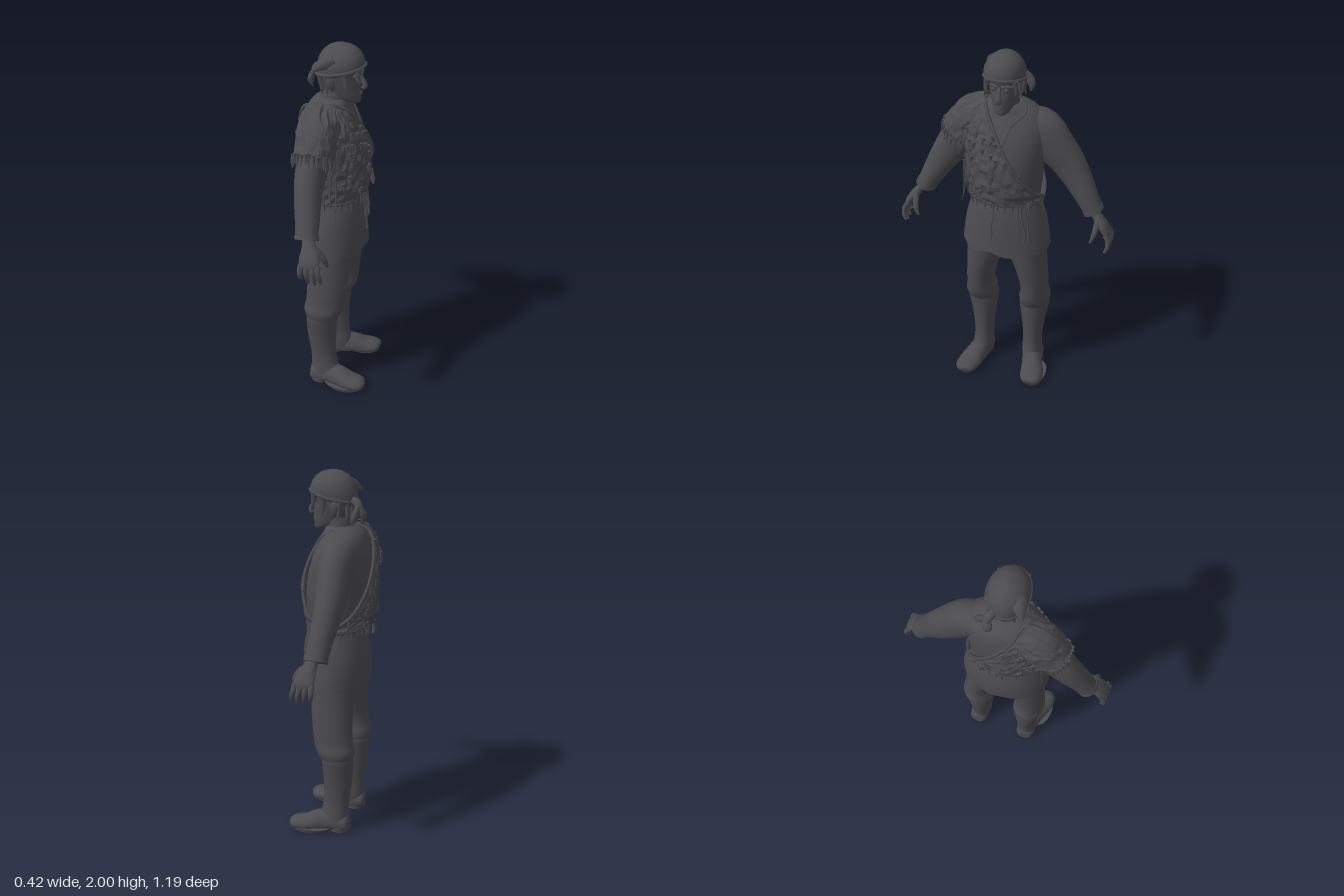
import * as THREE from 'three';

const cloth = new THREE.MeshStandardMaterial({ color: 0x4c4c50, side: THREE.DoubleSide });
cloth.name = 'charcoal grey';
const V = (x, y, z) => new THREE.Vector3(x, y, z);
let seed = 7;
const rnd = () => (seed = (seed * 16807) % 2147483647) / 2147483647;

// Smoothly interpolate a table of numbers at t in 0..rows-1
function sample(rows, t) {
  const i = Math.min(Math.floor(t), rows.length - 2), f = t - i;
  const at = k => rows[Math.max(0, Math.min(rows.length - 1, k))];
  return rows[i].map((b, c) => {
    const a = at(i - 1)[c], d = at(i + 1)[c], e = at(i + 2)[c];
    const m0 = (d - a) / 2, m1 = (e - b) / 2, f2 = f * f, f3 = f2 * f;
    return (2 * f3 - 3 * f2 + 1) * b + (f3 - 2 * f2 + f) * m0 + (3 * f2 - 2 * f3) * d + (f3 - f2) * m1;
  });
}
const refine = (rows, k) => Array.from({ length: (rows.length - 1) * k + 1 }, (_, i) => sample(rows, i / k));

// Skin a list of point rings; closed rings also get end caps
function skin(rings, closed = true, flat = false) {
  const pos = [], idx = [], n = rings[0].length, m = closed ? n : n - 1;
  rings.forEach(r => r.forEach(p => pos.push(p.x, p.y, p.z)));
  for (let i = 0; i < rings.length - 1; i++) for (let j = 0; j < m; j++) {
    const a = i * n + j, b = i * n + (j + 1) % n;
    idx.push(a, b, a + n, b, b + n, a + n);
  }
  if (closed) [0, rings.length - 1].forEach((r, e) => {
    const c = pos.length / 3, mid = V(0, 0, 0);
    rings[r].forEach(p => mid.addScaledVector(p, 1 / n));
    rings[r].forEach(p => pos.push(p.x, p.y, p.z));
    pos.push(mid.x, mid.y, mid.z);
    for (let j = 0; j < n; j++) {
      const a = c + j, b = c + (j + 1) % n;
      e ? idx.push(a, b, c + n) : idx.push(b, a, c + n);
    }
  });
  // Make the faces point outward
  let vol = 0;
  const P = i => V(pos[3 * i], pos[3 * i + 1], pos[3 * i + 2]);
  for (let i = 0; i < idx.length; i += 3) vol += P(idx[i]).dot(P(idx[i + 1]).cross(P(idx[i + 2])));
  if (vol < 0) idx.reverse();
  let g = new THREE.BufferGeometry();
  g.setAttribute('position', new THREE.Float32BufferAttribute(pos, 3));
  g.setIndex(idx);
  if (flat) g = g.toNonIndexed();
  g.computeVertexNormals();
  return g;
}

// Horizontal rings from rows [y, x0, x1, z0, z1]
function stack(rows, s = 1, k = 3, seg = 24, lift = () => 0) {
  return skin(refine(rows, k).map(([y, x0, x1, z0, z1]) => Array.from({ length: seg }, (_, j) => {
    const a = j / seg * Math.PI * 2;
    const x = (x0 + x1) / 2 + (x1 - x0) / 2 * Math.cos(a);
    return V(x, y + lift(x, y, a), s * ((z0 + z1) / 2 + (z1 - z0) / 2 * Math.sin(a)));
  })));
}

// Rings across a path, rows [x, y, z, width, depth]
function limbRings(rows, s, k, seg, ref = V(1, 0, 0), floor = -1, a0 = 0, a1 = Math.PI * 2) {
  const r = refine(rows, k), open = a1 - a0 < 6;
  return r.map(([x, y, z, w, d], i) => {
    const p = r[Math.max(0, i - 1)], q = r[Math.min(r.length - 1, i + 1)];
    const t = V(q[0] - p[0], q[1] - p[1], q[2] - p[2]).normalize();
    const u = ref.clone().addScaledVector(t, -ref.dot(t)).normalize(), v = t.clone().cross(u);
    return Array.from({ length: seg }, (_, j) => {
      const a = a0 + (a1 - a0) * j / (open ? seg - 1 : seg);
      const c = V(x, y, z).addScaledVector(u, w * Math.cos(a)).addScaledVector(v, d * Math.sin(a));
      return V(c.x, Math.max(floor, c.y), s * c.z);
    });
  });
}
const limb = (rows, s = 1, k = 3, seg = 14, ref, floor) => skin(limbRings(rows, s, k, seg, ref, floor));

// Tunic body: rows [y, back x, front x, half width]
const BODY = [[.85, -.19, .16, .245], [.93, -.192, .155, .237], [1.02, -.185, .148, .222], [1.1, -.168, .138, .2],
  [1.15, -.155, .128, .185], [1.19, -.165, .138, .187], [1.26, -.185, .152, .195], [1.4, -.193, .15, .205],
  [1.52, -.19, .122, .217], [1.6, -.18, .09, .21], [1.66, -.16, .062, .17], [1.695, -.13, .052, .115], [1.71, -.1, .045, .08]];
function bodyPoint(y, a, off = 0) {
  let i = 0;
  while (i < BODY.length - 2 && BODY[i + 1][0] < y) i++;
  const [, b, f, w] = sample(BODY, i + (y - BODY[i][0]) / (BODY[i + 1][0] - BODY[i][0]));
  return V((b + f) / 2 + ((f - b) / 2 + off) * Math.cos(a), y, (w + off) * Math.sin(a));
}
// Angle at which the pelt's diagonal edge crosses height y
function edgeAngle(y) {
  const z = .09 - (1.7 - y) * .54, w = Math.abs(bodyPoint(y, Math.PI / 2).z);
  return Math.asin(Math.max(-1, Math.min(1, z / w)));
}

export function createModel() {
  const root = new THREE.Group();
  const add = (name, g) => {
    const m = new THREE.Mesh(g, cloth);
    m.name = name;
    root.add(m);
    return m;
  };
  const cord = (name, pts, r = .006, closed = false) =>
    add(name, new THREE.TubeGeometry(new THREE.CatmullRomCurve3(pts, closed), pts.length * 4, r, 5, closed));
  // Tapered, slightly ragged tuft hanging from p
  const tuft = (name, p, len, r = .01, dx = 0, dz = 0) => add(name, limb([[p.x, p.y + .01, p.z, r, r],
    [p.x + dx * .3 + (rnd() - .5) * .012, p.y - len * .5, p.z + dz * .3 + (rnd() - .5) * .012, r * .8, r * .6],
    [p.x + dx, p.y - len, p.z + dz, .002, .002]], 1, 1, 5));

  // Tunic with rippled hem
  add('tunic', stack(BODY.map(([y, b, f, w]) => [y, b, f, -w, w]), 1, 3, 40,
    (x, y, a) => y < .93 ? .012 * Math.sin(a * 7) * (.93 - y) / .08 : 0));
  const waist = off => Array.from({ length: 20 }, (_, i) => bodyPoint(1.165, i / 20 * Math.PI * 2, off));
  cord('belt', waist(.01), .011, true);

  for (const s of [1, -1]) {
    // Legs and boots
    add('trouserLeg', stack([[.92, -.14, .11, .005, .22], [.8, -.14, .1, .012, .225], [.7, -.14, .092, .048, .229],
      [.6, -.14, .08, .075, .234], [.53, -.147, .072, .08, .236], [.48, -.157, .06, .068, .245], [.44, -.145, .04, .07, .237]], s));
    add('bootShaft', stack([[.45, -.143, .032, .068, .236], [.42, -.146, .03, .066, .236], [.3, -.14, .022, .082, .213],
      [.18, -.122, .022, .092, .2], [.1, -.118, .036, .09, .205], [.04, -.12, .05, .095, .21]], s));
    add('bootFoot', limb([[-.126, .04, .15, .025, .035], [-.108, .04, .15, .05, .055], [-.02, .045, .155, .058, .07],
      [.05, .042, .172, .06, .066], [.11, .034, .187, .066, .047], [.165, .032, .197, .06, .04], [.192, .03, .2, .042, .028],
      [.2, .028, .2, .018, .012]], s, 3, 18, V(0, 0, 1), .012));
    add('bootHeel', stack([[0, -.122, -.015, .1, .205], [.03, -.122, -.01, .098, .207]], s, 1, 16));
    add('bootSole', stack([[.002, -.01, .19, .135, .258], [.02, -.03, .197, .132, .262]], s, 1, 18));

    // Sleeve and cuff
    add('sleeve', limb([[-.06, 1.6, .1, .085, .07], [-.062, 1.56, .175, .092, .11], [-.065, 1.45, .257, .086, .107],
      [-.07, 1.37, .318, .078, .096], [-.064, 1.28, .377, .07, .08], [-.052, 1.19, .43, .064, .064], [-.045, 1.11, .474, .06, .054]], s, 3, 20));
    add('cuff', limb([[-.045, 1.125, .467, .064, .058], [-.044, 1.105, .477, .064, .058]], s, 1, 20));

    // Hand
    add('palm', limb([[-.035, 1.14, .465, .035, .028], [-.025, 1.09, .5, .036, .025], [-.012, 1.05, .535, .052, .024],
      [-.008, 1.01, .562, .054, .02], [-.006, .99, .568, .045, .014]], s));
    [[-.052, .925], [-.02, .907], [.012, .9], [.041, .915]].forEach(([x, y]) => add('finger', limb([[x, 1.01, .562, .013, .013],
      [x, .98, .577, .015, .014], [x * 1.1 + .006, .945, .578, .013, .012], [x * 1.1 + .012, y, .564, .008, .008]], s, 2, 8)));
    add('thumb', limb([[.01, 1.08, .51, .018, .016], [.042, 1.04, .508, .018, .016], [.062, 1.005, .5, .014, .013],
      [.068, .97, .486, .007, .007]], s, 2, 8));

    // Face details in pairs
    add('ear', limb([[-.015, 1.765, s * .078, .008, .008], [-.02, 1.795, s * .088, .02, .012], [-.022, 1.83, s * .092, .022, .012],
      [-.022, 1.85, s * .086, .012, .008]], 1, 2, 10));
    const eye = add('eye', new THREE.SphereGeometry(.012, 12, 8));
    eye.position.set(.106, 1.83, s * .034);
    add('brow', limb([[.118, 1.848, s * .012, .01, .008], [.113, 1.854, s * .036, .01, .007], [.092, 1.845, s * .062, .008, .005]], 1, 2, 8, V(1, 0, 0)));
  }

  // Neck, head and face
  add('neck', stack([[1.64, -.11, .055, -.085, .085], [1.69, -.09, .05, -.07, .07], [1.76, -.075, .045, -.062, .062]]));
  add('head', stack([[1.683, .055, .1, -.022, .022], [1.692, .015, .116, -.038, .038], [1.72, -.045, .118, -.055, .055],
    [1.755, -.08, .118, -.066, .066], [1.79, -.097, .117, -.076, .076], [1.83, -.106, .112, -.083, .083],
    [1.88, -.108, .12, -.088, .088], [1.94, -.09, .105, -.08, .08], [1.975, -.05, .07, -.05, .05]], 1, 3, 28));
  add('nose', limb([[.112, 1.845, 0, .008, .009], [.126, 1.81, 0, .012, .011], [.138, 1.779, 0, .015, .018],
    [.126, 1.765, 0, .012, .016]], 1, 3, 10));
  [1.742, 1.731].forEach(y => add('lip', limb([[.1, y, -.028, .004, .003], [.118, y + .002, 0, .007, .006], [.1, y, .028, .004, .003]], 1, 3, 8)));

  // Headscarf, its loose corner and knot
  const tilt = (x, y) => .26 * x * Math.max(0, 2 - y) / .15;
  add('headscarf', stack([[1.845, -.112, .13, -.094, .098], [1.855, -.12, .138, -.102, .108], [1.9, -.117, .132, -.104, .11],
    [1.95, -.095, .112, -.086, .09], [1.985, -.053, .074, -.05, .052], [2, -.005, .025, -.01, .01]], 1, 3, 28, tilt));
  cord('scarfBand', Array.from({ length: 16 }, (_, i) => {
    const a = i / 16 * Math.PI * 2, x = .01 + .129 * Math.cos(a);
    return V(x, 1.862 + .22 * x, .003 + .105 * Math.sin(a));
  }), .009, true);
  add('scarfCorner', limb([[-.02, 1.93, .06, .035, .05], [-.07, 1.905, .09, .03, .035], [-.115, 1.875, .117, .004, .005]], 1, 3, 8, V(0, 1, 0)));
  add('scarfKnot', limb([[-.1, 1.85, -.03, .02, .022], [-.13, 1.84, -.045, .024, .026], [-.148, 1.815, -.055, .018, .02]], 1, 2, 10));
  [[-.165, -.04], [-.13, -.1]].forEach(([x, z]) => add('scarfTail', limb([[-.14, 1.83, -.05, .012, .012],
    [(x - .145) / 2, 1.8, (z - .055) / 2, .016, .028], [x, 1.765, z, .018, .022], [x + .012, 1.728, z, .003, .004]], 1, 2, 8)));
  // Hair locks below the scarf
  [[.115, .06, .05], [.095, -.075, .05], [.05, .087, .07], [.04, -.087, .07], [-.05, .085, .075], [-.05, -.085, .075],
    [-.085, .06, .085], [-.085, -.06, .085], [-.1, .02, .09], [-.1, -.02, .09]].forEach(([x, z, l]) =>
    tuft('hairLock', V(x, 1.855 + x * .2, z), l + .02, .018, .012, z * .12));

  // Neck opening edge
  cord('neckline', [[1.7, 1.35], [1.675, .85], [1.62, .28], [1.56, .14], [1.49, .02], [1.56, -.14], [1.62, -.28], [1.675, -.85], [1.7, -1.35]]
    .map(([y, a]) => bodyPoint(y, a, .002)), .006);

  // Pelt wrapped over one shoulder, rough surfaced
  const rough = () => .01 + .014 * rnd();
  const heights = Array.from({ length: 19 }, (_, i) => 1.17 + i * .0295);
  add('pelt', skin(heights.map(y => {
    const a = edgeAngle(y);
    return Array.from({ length: 37 }, (_, j) => bodyPoint(y, a + (Math.PI - 2 * a) * j / 36, rough()));
  }), false, true));
  for (const back of [false, true]) {
    cord('peltEdge', heights.map(y => bodyPoint(y, back ? Math.PI - edgeAngle(y) : edgeAngle(y), .02)), .01);
  }
  const drape = limbRings([[-.06, 1.64, .08, .1, .09], [-.062, 1.575, .17, .112, .128], [-.064, 1.51, .225, .107, .126],
    [-.065, 1.455, .265, .1, .121]], 1, 3, 22, V(1, 0, 0), -1, -.35, Math.PI + .35);
  const upper = drape[9].reduce((t, p) => t + p.y, 0) / 22 > 1.455;
  const shoulder = upper ? drape : limbRings([[-.06, 1.64, .08, .1, .09], [-.062, 1.575, .17, .112, .128],
    [-.064, 1.51, .225, .107, .126], [-.065, 1.455, .265, .1, .121]], 1, 3, 22, V(1, 0, 0), -1, Math.PI - .35, Math.PI * 2 + .35);
  shoulder.forEach(r => r.forEach(p => p.add(V((rnd() - .5) * .012, (rnd() - .5) * .012, (rnd() - .5) * .012))));
  add('peltShoulder', skin(shoulder, false, true));
  shoulder[9].forEach((p, i) => tuft('shoulderFringe', p, .035 + rnd() * .04, .009, 0, .012));

  // Raised scales of hide
  for (let i = 0; i < 70; i++) {
    const y = 1.2 + rnd() * .42, a = edgeAngle(y), b = a + (Math.PI - 2 * a) * rnd();
    tuft('hideScale', bodyPoint(y, b, .016), .035, .014, .008 * Math.cos(b), .008 * Math.sin(b));
  }
  // Waist fringe and hanging cords
  for (let i = 0; i < 34; i++) tuft('waistFringe', bodyPoint(1.17, i / 34 * Math.PI * 2, .017), .025 + rnd() * .04, .008);
  [[.14, .96], [-.62, .95], [-.75, .92], [-.5, 1.02]].forEach(([a, end]) => cord('beltCord',
    Array.from({ length: 6 }, (_, i) => bodyPoint(1.17 - (1.17 - end) * i / 5, a + (rnd() - .5) * .06, .016)), .006));
  [-.02, .015, .04, -.05, -.1].forEach((x, i) => tuft('sideStrand', V(x, 1.38 - i * .02, .222), .2 + rnd() * .06, .007, 0, .012));
  const tassel = bodyPoint(1.17, -.85, .02);
  [-.02, 0, .02].forEach(d => tuft('sideTassel', tassel, .08, .012, .01, d));

  return root;
}
